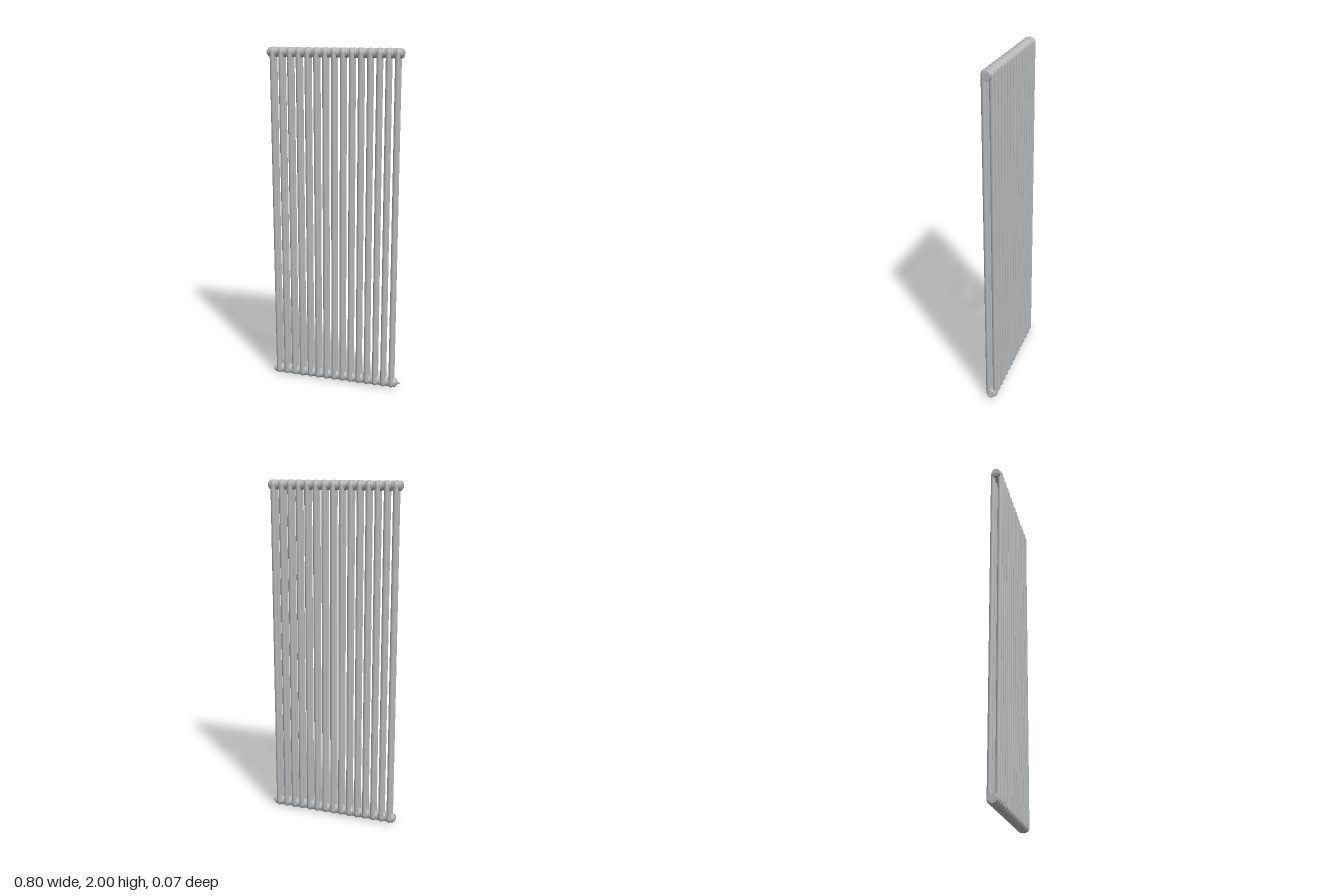
import * as THREE from 'three';

const SECTIONS = 15, PITCH = 0.0511, FIRST_X = -0.3655;
const COLUMN_Z = 0.0215, HUB_Y = 0.029;

export function createModel() {
  const model = new THREE.Group();
  model.name = 'columnRadiator';
  const grey = new THREE.MeshStandardMaterial({ color: 0xb4b6b8 });
  grey.name = 'satin grey';

  const add = (parent, name, geometry, x, y, z) => {
    const mesh = new THREE.Mesh(geometry, grey);
    mesh.name = name;
    mesh.position.set(x, y, z);
    parent.add(mesh);
    return mesh;
  };

  // Turned part along x; profile is [x, radius] from left to right
  const turned = (profile, sides = 32) => {
    const g = new THREE.LatheGeometry(profile.map(([x, r]) => new THREE.Vector2(r, x)), sides);
    return g.rotateZ(-Math.PI / 2);
  };

  // Sharp-edged stepped fitting made of stacked cylinders: [x0, x1, radius, sides]
  const fitting = (name, y, steps) => {
    const group = new THREE.Group();
    group.name = name;
    for (const [x0, x1, r, sides] of steps) {
      const g = new THREE.CylinderGeometry(r, r, x1 - x0, sides).rotateZ(-Math.PI / 2);
      add(group, name + 'Step', sides === 6 ? g.toNonIndexed() : g, (x0 + x1) / 2, y, 0);
      if (sides === 6) group.children.at(-1).geometry.computeVertexNormals();
    }
    model.add(group);
  };

  // Shared section shapes: straight column, rounded arch and hub
  const column = new THREE.CylinderGeometry(0.014, 0.014, 1.9, 20, 1, true);
  const zc = COLUMN_Z, top = 0.0145;
  const path = new THREE.CurvePath();
  const v = (y, z) => new THREE.Vector3(0, y, z);
  path.add(new THREE.LineCurve3(v(-0.026, zc), v(-0.002, zc)));
  path.add(new THREE.QuadraticBezierCurve3(v(-0.002, zc), v(top, zc), v(top, 0.006)));
  path.add(new THREE.LineCurve3(v(top, 0.006), v(top, -0.006)));
  path.add(new THREE.QuadraticBezierCurve3(v(top, -0.006), v(top, -zc), v(-0.002, -zc)));
  path.add(new THREE.LineCurve3(v(-0.002, -zc), v(-0.026, -zc)));
  const arch = new THREE.TubeGeometry(path, 36, 0.0145, 20);
  const h = PITCH / 2;
  const hub = turned([[-h, 0.0245], [-h + 0.002, 0.0262], [-h + 0.008, 0.0272], [-0.008, 0.0275],
    [0.008, 0.0275], [h - 0.008, 0.0272], [h - 0.002, 0.0262], [h, 0.0245]]);

  // Repeated two-column sections
  for (let i = 0; i < SECTIONS; i++) {
    const section = new THREE.Group();
    section.name = 'section' + (i + 1);
    section.position.x = FIRST_X + i * PITCH;
    for (const s of [1, -1]) {
      add(section, s > 0 ? 'frontColumn' : 'backColumn', column, 0, 1, s * zc);
      const y = s > 0 ? 2 - HUB_Y : HUB_Y;
      const end = s > 0 ? 'top' : 'bottom';
      add(section, end + 'Arch', arch, 0, y, 0).rotation.x = s > 0 ? 0 : Math.PI;
      add(section, end + 'Hub', hub, 0, y, 0);
    }
    model.add(section);
  }

  // End plugs on both headers, with a bleed valve at the lower left
  for (const [end, y] of [['top', 2 - HUB_Y], ['bottom', HUB_Y]]) {
    fitting(end + 'RightPlug', y, [
      [-0.394, -0.388, 0.0245, 32], [-0.4, -0.393, 0.0165, 32], [-0.4, -0.394, 0.008, 6]]);
    fitting(end + 'LeftPlug', y, [
      [0.372, 0.378, 0.0235, 32], [0.376, 0.3825, 0.0175, 32]]);
  }
  fitting('bleedValve', HUB_Y, [
    [0.38, 0.387, 0.0125, 6], [0.385, 0.392, 0.008, 24], [0.39, 0.4, 0.005, 16]]);

  return model;
}
